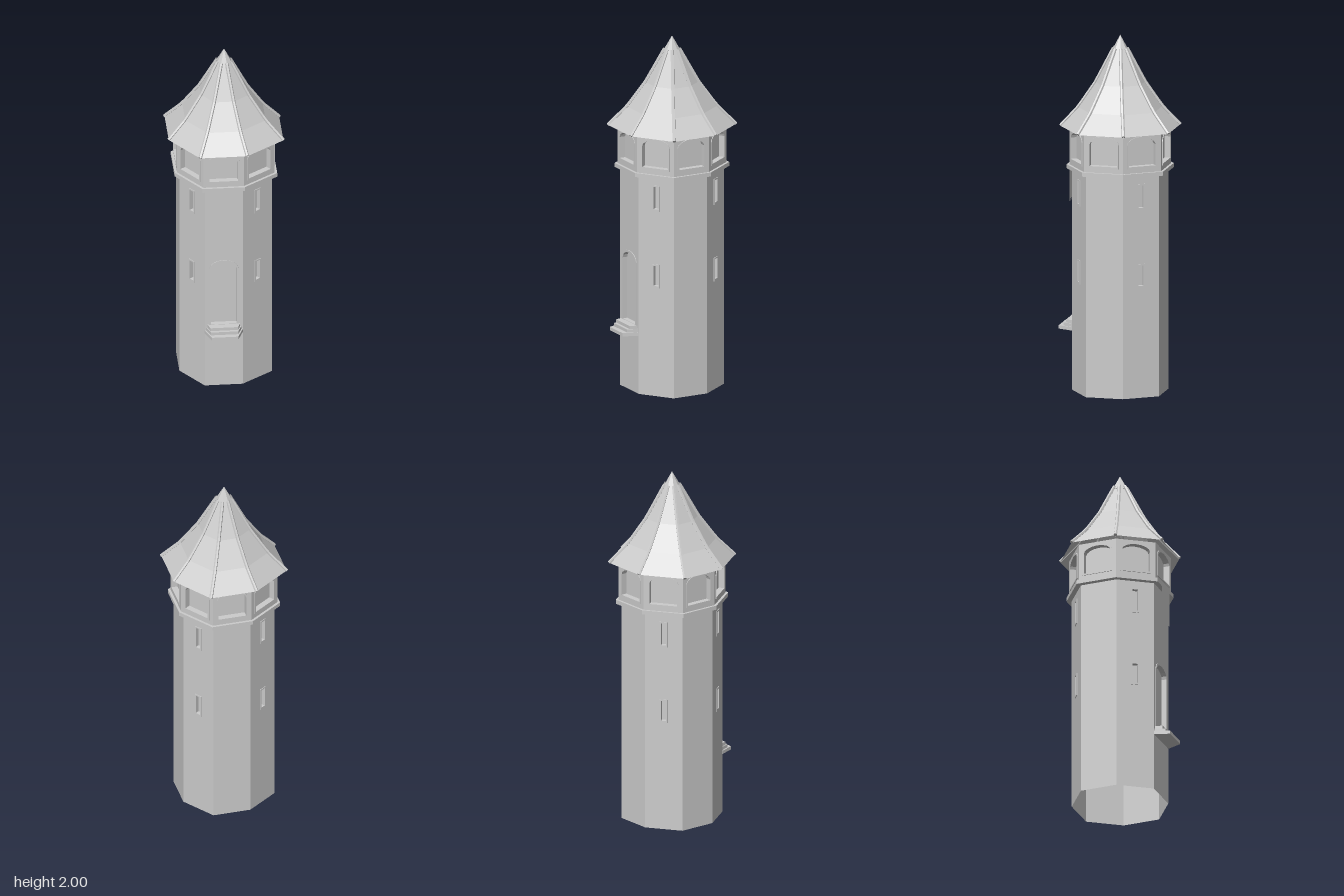
import * as THREE from 'three';

const mat = new THREE.MeshStandardMaterial({ color: 0xcccccc, flatShading: true, side: THREE.DoubleSide });

// Plan: a slightly skewed octagon, four-fold symmetric; h is the half width
function corners(h) {
  const out = [];
  for (let q = 0; q < 4; q++) {
    for (let [x, z] of [[-0.51, 1], [0.318, 1]]) {
      for (let i = 0; i < q; i++) [x, z] = [z, -x];
      out.push(new THREE.Vector2(x * h, z * h));
    }
  }
  return out;
}

function add(parent, name, geo) {
  const m = new THREE.Mesh(geo, mat);
  m.name = name;
  parent.add(m);
  return m;
}

// Octagonal skin through rings of [half width, height]
function loft(rings) {
  const pos = [], idx = [];
  for (const [h, y] of rings) for (const c of corners(h)) pos.push(c.x, y, c.y);
  for (let r = 0; r < rings.length - 1; r++) {
    for (let i = 0; i < 8; i++) {
      const a = r * 8 + i, b = r * 8 + (i + 1) % 8;
      idx.push(a, b, b + 8, a, b + 8, a + 8);
    }
  }
  const g = new THREE.BufferGeometry();
  g.setAttribute('position', new THREE.Float32BufferAttribute(pos, 3));
  g.setIndex(idx);
  const flat = g.toNonIndexed();
  flat.computeVertexNormals();
  return flat;
}

// Group lying on side i of the octagon: x along the side, z outwards
function sideFrame(parent, name, h, i) {
  const c = corners(h), a = c[i], b = c[(i + 1) % 8];
  const g = new THREE.Group();
  g.name = name;
  g.position.set((a.x + b.x) / 2, 0, (a.y + b.y) / 2);
  g.rotation.y = Math.atan2(-(b.y - a.y), b.x - a.x);
  g.userData.width = a.distanceTo(b);
  parent.add(g);
  return g;
}

const rect = (w, y0, y1) => [[-w / 2, y0], [w / 2, y0], [w / 2, y1], [-w / 2, y1]];

// Opening with a low arched head
function arch(w, y0, spring, top) {
  const pts = [[-w / 2, y0], [w / 2, y0]];
  for (let i = 0; i <= 8; i++) {
    const t = Math.PI * i / 8;
    pts.push([Math.cos(t) * w / 2, spring + Math.sin(t) * (top - spring)]);
  }
  return pts;
}

function shape(outline, holes = []) {
  const v = (p) => p.map(([x, y]) => new THREE.Vector2(x, y));
  const s = new THREE.Shape(v(outline));
  for (const h of holes) s.holes.push(new THREE.Path(v(h)));
  return s;
}

// Solid plate between two depths
function plate(outline, holes, z0, z1) {
  const g = new THREE.ExtrudeGeometry(shape(outline, holes), { depth: z1 - z0, bevelEnabled: false });
  return g.translate(0, 0, z0);
}

// Raised frame around a recessed panel
function fitting(side, name, outer, inner, depth, proud) {
  add(side, name + 'Frame', plate(outer, [inner], -depth, proud));
  add(side, name + 'Panel', new THREE.ShapeGeometry(shape(outer)).translate(0, 0, -depth));
}

function banner(side, z) {
  const w = 0.112, low = 1.05, n = 9, pts = [[-w / 2, 1.25]];
  for (let i = 0; i < n; i++) {
    const y = low + (i % 2 ? 0.016 : 0);
    pts.push([-w / 2 + i * w / n, y], [-w / 2 + (i + 1) * w / n, y]);
  }
  pts.push([w / 2, 1.25]);
  add(side, 'banner', new THREE.ShapeGeometry(shape(pts)).translate(0, 0, z));
}

export function createModel() {
  const root = new THREE.Group();
  root.name = 'tower';
  const tower = new THREE.Group();
  tower.name = 'octagonalTower';
  tower.position.set(-0.001, 0, -0.007);
  root.add(tower);

  // Shaft: door on the front, two slit windows on every diagonal side
  const doorOut = arch(0.162, 0.385, 0.745, 0.797);
  const doorIn = arch(0.142, 0.39, 0.74, 0.785);
  const slits = [[0.62, 0.755], [1.06, 1.207]];
  for (let i = 0; i < 8; i++) {
    const side = sideFrame(tower, 'shaftSide', 0.2545, i);
    const holes = i === 0 ? [doorOut] : i % 2 ? slits.map(([a, b]) => rect(0.046, a, b)) : [];
    add(side, 'shaftWall', new THREE.ShapeGeometry(shape(rect(side.userData.width, 0, 1.26), holes)));
    if (i % 2) {
      for (const [a, b] of slits) {
        fitting(side, 'slitWindow', rect(0.046, a, b), rect(0.03, a + 0.012, b - 0.008), 0.02, 0.004);
      }
    }
    if (i === 0) {
      fitting(side, 'door', doorOut, doorIn, 0.025, 0.004);
      banner(side, 0.027);
      // Three tapering doorsteps
      [[0.106, 0.073, 0.084], [0.098, 0.075, 0.057], [0.09, 0.077, 0.041]].forEach(([back, front, d], k) => {
        const g = plate([[-back, 0], [-front, -d], [front, -d], [back, 0]], [], 0, 0.019);
        g.rotateX(-Math.PI / 2).translate(0, 0.333 + k * 0.018, 0);
        add(side, 'doorstep', g);
      });
    }
    if (i === 4) banner(side, 0.003);
  }

  // Ledge under the gallery
  add(tower, 'ledge', loft([[0.25, 1.25], [0.282, 1.25], [0.282, 1.273], [0.001, 1.273]]));

  // Gallery with one arched window on each side
  const winOut = arch(0.176, 1.3, 1.435, 1.478);
  const winIn = arch(0.158, 1.31, 1.43, 1.468);
  for (let i = 0; i < 8; i++) {
    const side = sideFrame(tower, 'gallerySide', 0.268, i);
    add(side, 'galleryWall', plate(rect(side.userData.width, 1.272, 1.492), [winOut], -0.03, 0));
    fitting(side, 'galleryWindow', winOut, winIn, 0.03, 0.004);
  }

  // Flared roof
  const roof = [[0.315, 1.49], [0.221, 1.595], [0.13, 1.735], [0.036, 1.925]];
  add(tower, 'roof', loft(roof));

  // Ribs along the roof edges
  for (let i = 0; i < 8; i++) {
    const pts = roof.map(([h, y]) => {
      const c = corners(h)[i];
      return new THREE.Vector3(c.x, y + 0.002, c.y);
    });
    const path = new THREE.CurvePath();
    for (let k = 0; k < 3; k++) path.add(new THREE.LineCurve3(pts[k], pts[k + 1]));
    add(tower, 'roofRib', new THREE.TubeGeometry(path, 12, 0.01, 6));
    const end = add(tower, 'ribEnd', new THREE.CircleGeometry(0.01, 6));
    end.position.copy(pts[0]);
    end.lookAt(pts[0].clone().multiplyScalar(2).sub(pts[1]));
  }

  // Pointed cap
  add(tower, 'roofCap', loft([[0.03, 1.908], [0.046, 1.91], [0.0005, 2]]));
  return root;
}
